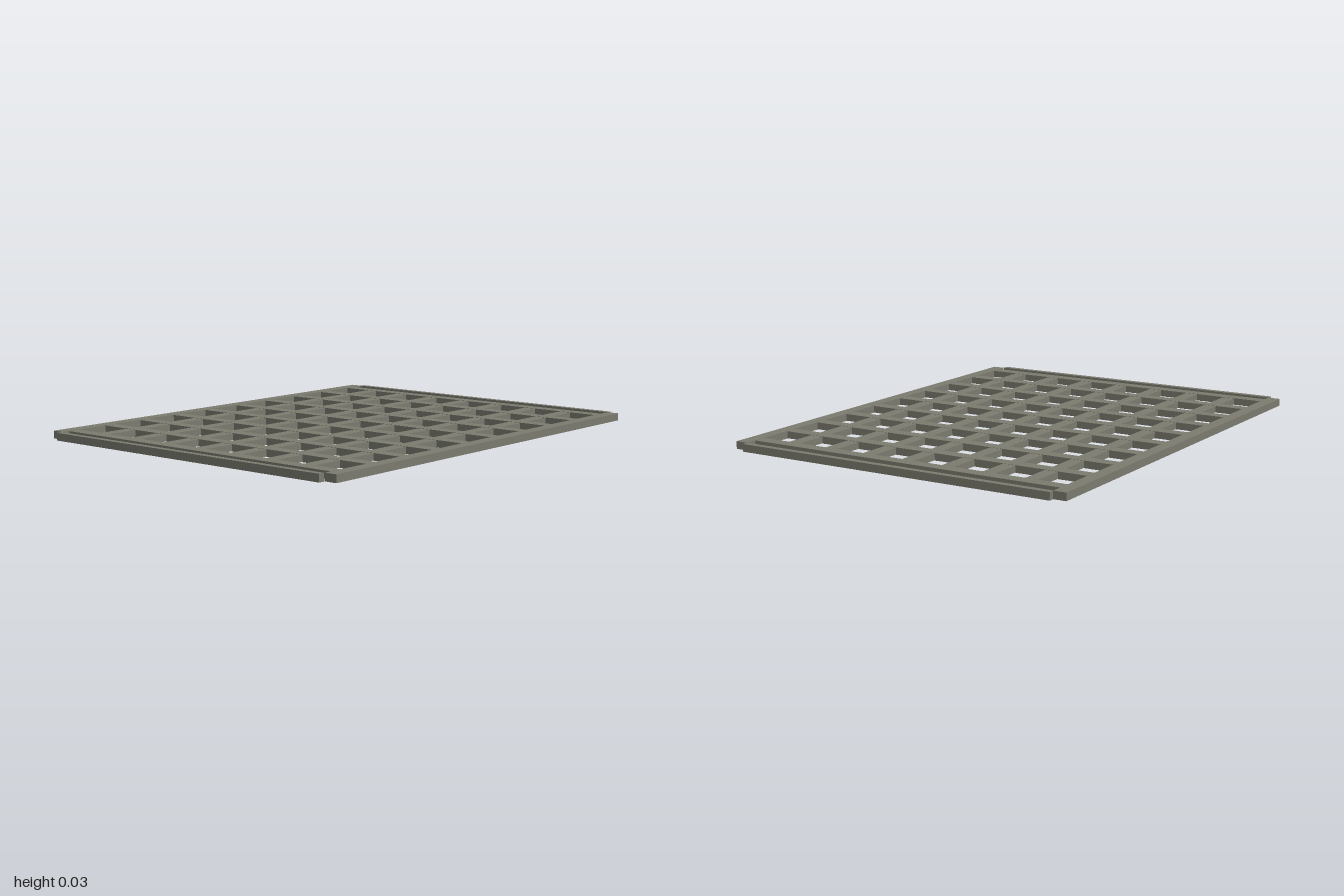
import * as THREE from 'three';

export function createModel() {
  const model = new THREE.Group();
  const metal = new THREE.MeshStandardMaterial({ color: 0x7b7b70 });
  metal.name = 'grey metal';

  // Adds a bar standing on height y0, centred on x and z
  function bar(name, w, h, d, x, y0, z) {
    const mesh = new THREE.Mesh(new THREE.BoxGeometry(w, h, d), metal);
    mesh.name = name;
    mesh.position.set(x, y0 + h / 2, z);
    model.add(mesh);
  }

  // Side rails and the thin end strips set just outside their ends
  for (const s of [-1, 1]) {
    bar(s > 0 ? 'leftRail' : 'rightRail', 0.055, 0.032, 1.945, s * 0.745, 0, -0.003);
    bar(s > 0 ? 'frontStrip' : 'backStrip', 1.436, 0.032, 0.027, 0, 0, s * 0.9865);
  }

  // Cross bars between the rails
  for (let i = 0; i < 10; i++) {
    bar('crossBar' + (i + 1), 1.436, 0.03, 0.055, 0, 0.001, -0.895 + i * 0.2);
  }

  // Lengthwise bars, a hair thinner so they tuck into the cross bars
  for (let i = -3; i <= 3; i++) {
    bar('longBar' + (i + 4), 0.056, 0.028, 1.8, i * 0.187, 0.002, 0.005);
  }

  return model;
}
